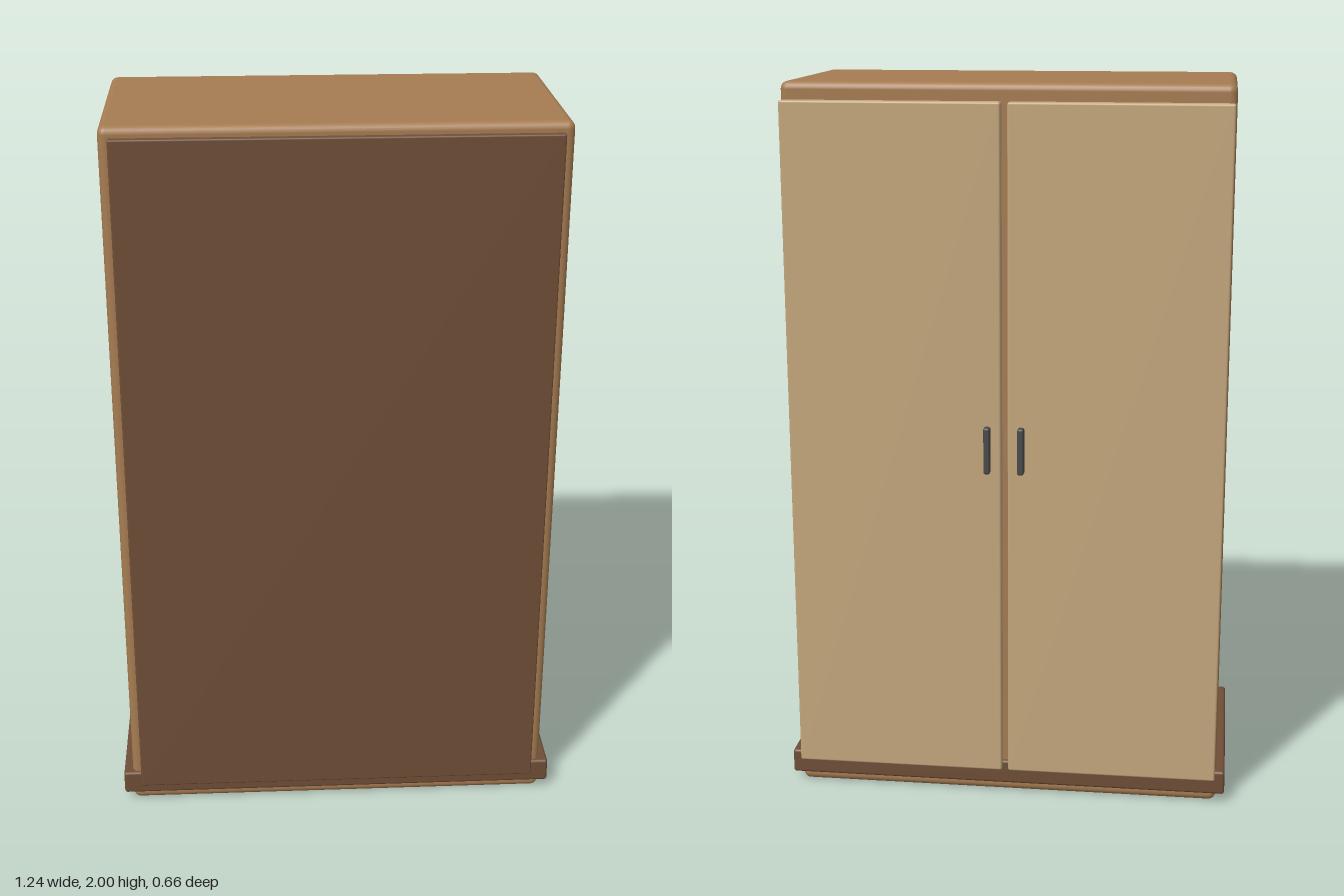
import * as THREE from 'three';
import { RoundedBoxGeometry } from 'three/addons/geometries/RoundedBoxGeometry.js';

const paint = (color) => new THREE.MeshStandardMaterial({ color });

// Rounded box given by its extents along each axis
function slab(name, [x0, x1], [y0, y1], [z0, z1], radius, material) {
  const geometry = new RoundedBoxGeometry(x1 - x0, y1 - y0, z1 - z0, 3, radius);
  const mesh = new THREE.Mesh(geometry, material);
  mesh.position.set((x0 + x1) / 2, (y0 + y1) / 2, (z0 + z1) / 2);
  mesh.name = name;
  return mesh;
}

export function createModel() {
  const wardrobe = new THREE.Group();
  wardrobe.name = 'wardrobe';

  const wood = paint(0xa67c52);
  const darkWood = paint(0x6f4e37);
  const paleWood = paint(0xc4a77d);
  const metal = paint(0x4a4a4a);

  // Cabinet, plinth band around its foot, and large dark panel on the +z side
  wardrobe.add(
    slab('cabinet', [-0.597, 0.597], [0, 2], [-0.278, 0.312], 0.02, wood),
    slab('plinth', [-0.622, 0.622], [0.027, 0.096], [-0.288, 0.321], 0.008, darkWood),
    slab('panel', [-0.572, 0.572], [0.055, 1.972], [0.298, 0.329], 0.005, darkWood)
  );

  // Pair of doors with upright handles beside the central gap
  for (const [side, s] of [['left', 1], ['right', -1]]) {
    const span = (a, b) => (s > 0 ? [a, b] : [-b, -a]);
    wardrobe.add(
      slab(side + 'Door', span(0.009, 0.594), [0.077, 1.953], [-0.311, -0.274], 0.006, paleWood),
      slab(side + 'Handle', span(0.037, 0.055), [0.96, 1.09], [-0.331, -0.305], 0.006, metal)
    );
  }
  return wardrobe;
}
